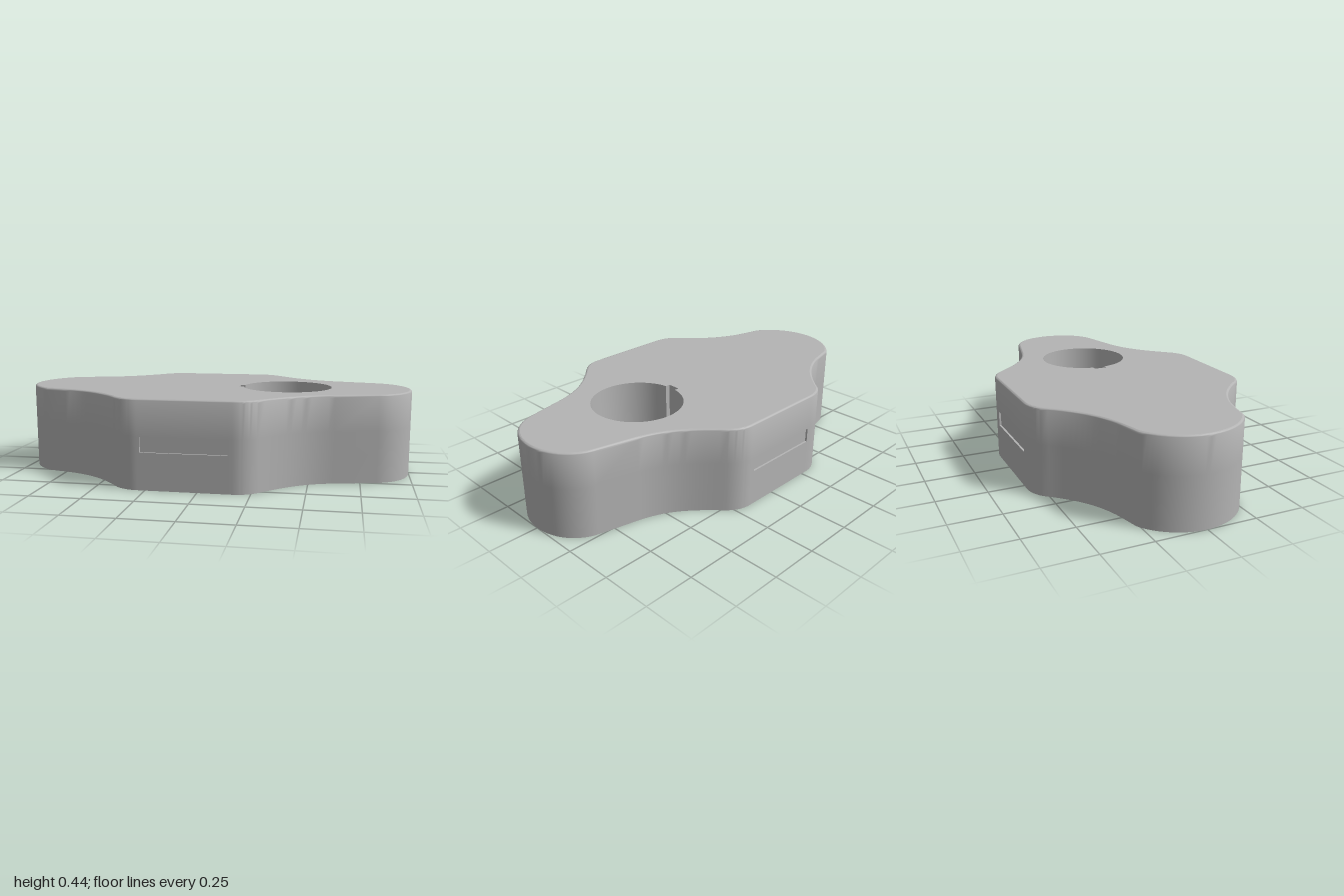
import * as THREE from 'three';
import { toCreasedNormals } from 'three/addons/utils/BufferGeometryUtils.js';

const H = 0.435, WALL = 0.022, ROUND = 0.012, HALF_DEPTH = 0.57;
const SLOT = { x0: -0.272, x1: 0.145, y0: 0.182, y1: 0.257, depth: 0.01 };

// Half outline in (x, z), mirrored across z = 0
function bodyOutline() {
  const p = new THREE.Path();
  p.moveTo(1, 0);
  p.bezierCurveTo(1, 0.12, 0.93, 0.215, 0.83, 0.24);
  p.lineTo(0.62, 0.288);
  p.bezierCurveTo(0.48, 0.325, 0.4, 0.39, 0.28, 0.52);
  p.quadraticCurveTo(0.23, HALF_DEPTH, 0.165, HALF_DEPTH);
  p.lineTo(SLOT.x1, HALF_DEPTH);
  p.lineTo(SLOT.x0, HALF_DEPTH);
  p.lineTo(-0.285, HALF_DEPTH);
  p.quadraticCurveTo(-0.35, HALF_DEPTH, -0.4, 0.525);
  p.bezierCurveTo(-0.5, 0.4, -0.6, 0.325, -0.74, 0.288);
  p.lineTo(-0.85, 0.262);
  p.bezierCurveTo(-0.94, 0.21, -1, 0.11, -1, 0);
  const half = p.getPoints(14);
  const mirrored = half.slice(1, -1).reverse().map((v) => new THREE.Vector2(v.x, -v.y));
  return [...half, ...mirrored];
}

// Round bore with a keyway towards -x
function boreOutline() {
  const r = 0.228, key = 0.033, d = Math.asin(key / r);
  const p = new THREE.Path();
  p.absarc(0.37, 0, r, -Math.PI + d, Math.PI - d, false);
  p.lineTo(0.12, key);
  p.lineTo(0.12, -key);
  return p.getPoints(36);
}

// Moves every point inwards by d, with mitred corners
function inset(pts, d) {
  const n = pts.length;
  const normal = (a, b) => new THREE.Vector2(b.y - a.y, a.x - b.x).normalize();
  return pts.map((p, i) => {
    const n0 = normal(pts[(i + n - 1) % n], p), n1 = normal(p, pts[(i + 1) % n]);
    const m = n0.clone().add(n1);
    return p.clone().addScaledVector(m, -d / (1 + n0.dot(n1)));
  });
}

// Sweeps a profile of [inset, y] steps around an outline
function sweep(outline, profile, skip = () => false) {
  const rows = profile.map(([d, y]) => inset(outline, d).map((p) => [p.x, y, p.y]));
  const pos = [], n = outline.length;
  for (let j = 0; j < rows.length - 1; j++) {
    for (let i = 0; i < n; i++) {
      const k = (i + 1) % n;
      const a = rows[j][i], b = rows[j][k], c = rows[j + 1][k], e = rows[j + 1][i];
      if (!skip(a, c)) pos.push(...b, ...a, ...e, ...b, ...e, ...c);
    }
  }
  const g = new THREE.BufferGeometry();
  g.setAttribute('position', new THREE.Float32BufferAttribute(pos, 3));
  return toCreasedNormals(g, 0.6);
}

// Flat plate with a hole, facing up or down
function plate(outline, hole, y, up) {
  const s = up ? -1 : 1;
  const flip = (pts) => pts.map((p) => new THREE.Vector2(p.x, s * p.y));
  const shape = new THREE.Shape(flip(outline));
  shape.holes.push(new THREE.Path(flip(hole)));
  return new THREE.ShapeGeometry(shape).rotateX(s * Math.PI / 2).translate(0, y, 0);
}

// Shallow pocket: an inward-facing box without its front
function pocket() {
  const g = new THREE.BoxGeometry(SLOT.x1 - SLOT.x0, SLOT.y1 - SLOT.y0, SLOT.depth);
  const idx = Array.from(g.index.array);
  idx.splice(24, 6);
  g.setIndex(idx.reverse());
  g.clearGroups();
  g.computeVertexNormals();
  return g;
}

export function createModel() {
  const group = new THREE.Group();
  const grey = new THREE.MeshStandardMaterial({ color: 0xb4b4b4 });
  grey.name = 'plain grey';
  const add = (name, geometry) => {
    const mesh = new THREE.Mesh(geometry, grey);
    mesh.name = name;
    group.add(mesh);
    return mesh;
  };

  const body = bodyOutline(), bore = boreOutline();

  // Outer wall: inside face, bottom rim, outside face, rounded top edge
  const profile = [[WALL, H - WALL], [WALL, 0], [0, 0], [0, SLOT.y0], [0, SLOT.y1]];
  for (let k = 0; k <= 4; k++) {
    const t = (k / 4) * Math.PI / 2;
    profile.push([ROUND * (1 - Math.cos(t)), H - ROUND + ROUND * Math.sin(t)]);
  }
  const inSlot = (a, c) => {
    const x = (a[0] + c[0]) / 2, y = (a[1] + c[1]) / 2;
    return Math.min(Math.abs(a[2]), Math.abs(c[2])) > HALF_DEPTH - 0.001
      && x > SLOT.x0 && x < SLOT.x1 && y > SLOT.y0 && y < SLOT.y1;
  };
  add('outerWall', sweep(body, profile, inSlot));

  // Top plate and its underside
  add('topPlate', plate(inset(body, ROUND), bore, H, true));
  add('topPlateUnderside', plate(inset(body, WALL), inset(bore, -WALL), H - WALL, false));

  // Keyed sleeve around the bore
  add('boreSleeve', sweep(bore, [[0, H], [0, 0], [-WALL, 0], [-WALL, H - WALL]]));

  // Slot recesses in the front and back
  for (const side of [1, -1]) {
    const slot = add(side > 0 ? 'frontSlot' : 'backSlot', pocket());
    slot.position.set((SLOT.x0 + SLOT.x1) / 2, (SLOT.y0 + SLOT.y1) / 2, side * (HALF_DEPTH - SLOT.depth / 2));
    if (side < 0) slot.rotation.y = Math.PI;
  }
  return group;
}
